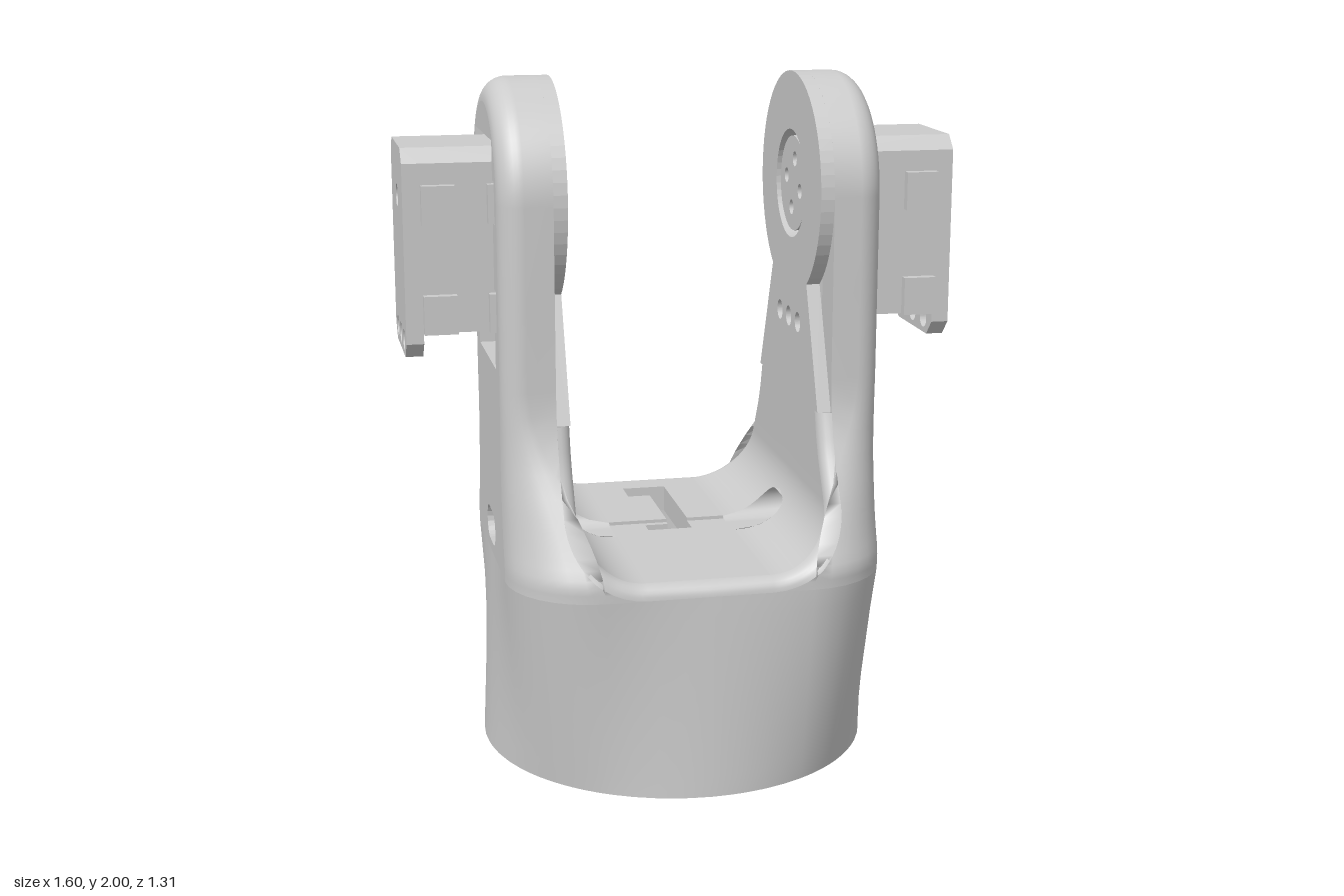
import * as THREE from 'three';

const MAT = new THREE.MeshStandardMaterial({ color: 0xcccccc, side: THREE.DoubleSide });
const CZ = 0.075;                    // depth of the frame's centre line
const X = 0.55, TOP = 1.67, R = 0.33; // outer face, ear centre height, ear radius
const RIM = 0.59, B = 0.04;          // rim height and bevel of the saddle
const V = (x, y) => new THREE.Vector2(x, y);

function add(parent, name, geo, x = 0, y = 0, z = 0) {
  const m = new THREE.Mesh(geo, MAT);
  m.name = name;
  m.position.set(x, y, z);
  parent.add(m);
  return m;
}
const box = (parent, name, x0, x1, y0, y1, z0, z1) => add(parent, name,
  new THREE.BoxGeometry(x1 - x0, y1 - y0, z1 - z0), (x0 + x1) / 2, (y0 + y1) / 2, (z0 + z1) / 2);

// smooth skin through rows of points
function skin(rows) {
  const n = rows[0].length, idx = [];
  for (let i = 0; i < rows.length - 1; i++) for (let j = 0; j < n - 1; j++) {
    const a = i * n + j, b = a + n;
    idx.push(a, b, a + 1, b, b + 1, a + 1);
  }
  const g = new THREE.BufferGeometry();
  g.setAttribute('position', new THREE.Float32BufferAttribute(rows.flat(2), 3));
  g.setIndex(idx);
  g.computeVertexNormals();
  return g;
}
function shapeOf(pts, holes = []) {
  const s = new THREE.Shape(pts.map(p => (p.isVector2 ? p : V(...p))));
  s.holes.push(...holes);
  return s;
}
const circle = (x, y, r) => { const p = new THREE.Path(); p.absarc(x, y, r, 0, Math.PI * 2); return p; };
const poly = pts => new THREE.Path(pts.map(p => V(...p)));
const extrude = (s, depth) => new THREE.ExtrudeGeometry(s, { depth, bevelEnabled: false, curveSegments: 24 });
const sideways = (s, x0, x1) => extrude(s, x1 - x0).rotateY(Math.PI / 2).translate(x0, 0, 0);
const upright = (s, y0, y1) => extrude(s, y1 - y0).rotateX(-Math.PI / 2).translate(0, y0, 0);

// half depth of the frame at a height
const PROFILE = [[0.64, 0.545], [0.78, 0.465], [0.92, 0.385], [1.0, 0.352], [1.08, 0.334], [1.15, R]];
function halfDepth(y) {
  if (y <= 0.64) return 0.545;
  if (y >= 1.15) return R;
  const i = PROFILE.findIndex(p => p[0] >= y), [a, b] = [PROFILE[i - 1], PROFILE[i]];
  return THREE.MathUtils.mapLinear(y, a[0], b[0], a[1], b[1]);
}
const cornerRadius = y => THREE.MathUtils.lerp(0.25, 0.07, THREE.MathUtils.smoothstep(y, RIM, 1.15));
// saddle fillet of radius r around (0.18, 0.81)
const saddleX = (y, r) => 0.18 + (y >= 0.81 ? r : Math.sqrt(Math.max(0, r * r - (0.81 - y) ** 2)));
// cable slot
const SLOT = { y: 0.67, r: 0.05, s: 0.0425 };
const slotHalf = y => (Math.abs(y - SLOT.y) < SLOT.r ? SLOT.s + Math.sqrt(SLOT.r ** 2 - (y - SLOT.y) ** 2) : 0);
function slotPoints() {
  const pts = [];
  for (const c of [1, -1]) for (let i = 0; i <= 10; i++) {
    const a = -Math.PI / 2 + Math.PI * i / 10;
    pts.push([c * (SLOT.s + SLOT.r * Math.cos(a)), SLOT.y + c * SLOT.r * Math.sin(a)]);
  }
  return pts;
}

// round foot blending into the rounded square rim, hollow inside
function buildBase(g) {
  const rim = [], r = 0.25;
  const corners = [[1, 1], [-1, 1], [-1, -1], [1, -1]];
  corners.forEach(([sx, sz], q) => {
    for (let i = 0; i <= 8; i++) {
      const a = (q + i / 8) * Math.PI / 2;
      rim.push([sx * (X - r) + r * Math.cos(a), sz * (0.545 - r) + r * Math.sin(a)]);
    }
    const [p, n] = [rim[rim.length - 1], corners[(q + 1) % 4]];
    const next = q % 2 ? [n[0] * X, n[1] * 0.295] : [n[0] * 0.3, n[1] * 0.545];
    for (let i = 1; i < 8; i++) rim.push([0, 1].map(k => THREE.MathUtils.lerp(p[k], next[k], i / 8)));
  });
  rim.push(rim[0]);
  const rows = [];
  for (let k = 0; k <= 10; k++) {
    const t = k / 10;
    rows.push(rim.map(([x, z]) => {
      const l = 0.58 / Math.hypot(x, z);
      return [x * THREE.MathUtils.lerp(l, 1, t), t * RIM, z * THREE.MathUtils.lerp(l, 1, t)];
    }));
  }
  add(g, 'baseShell', skin(rows));
  add(g, 'baseInnerWall', new THREE.CylinderGeometry(0.49, 0.49, 0.57, 64, 1, true), 0, 0.285, 0);
  add(g, 'baseBottomEdge', new THREE.RingGeometry(0.49, 0.58, 64).rotateX(Math.PI / 2));

  // saddle floor with its wire slot and cable channel
  const flip = p => [p[0], CZ - p[1]];
  const wire = [[-0.07, -0.35], [0.065, -0.35], [0.065, 0.07], [-0.07, 0.07], [-0.07, 0.02], [0, 0.02], [0, -0.26], [-0.07, -0.26]];
  const disc = new THREE.Shape().absarc(0, 0, 0.5, 0, Math.PI * 2);
  disc.holes.push(poly(wire.map(flip)));
  add(g, 'saddleFloor', upright(disc, 0.55, 0.62));
  const back = [[-0.18, -0.43], [0.18, -0.43], [0.18, 0], [0.065, 0], [0.065, -0.35], [-0.07, -0.35], [-0.07, -0.26], [0, -0.26], [0, 0], [-0.18, 0]];
  add(g, 'saddleFloorBack', upright(shapeOf(back.map(flip)), 0.59, 0.63));
  box(g, 'saddleFloorFront', -0.18, 0.18, 0.59, 0.63, 0.0725, 0.505);

  // mounting hub on three spokes
  const hub = new THREE.Shape().absarc(0, 0, 0.36, 0, Math.PI * 2);
  hub.holes.push(poly([0, 1, 2, 3, 4, 5].map(i => [0.09 * Math.cos(i * Math.PI / 3), 0.09 * Math.sin(i * Math.PI / 3)])));
  for (let i = 0; i < 4; i++) hub.holes.push(circle(0.25 * Math.cos(i * Math.PI / 2 + 0.3), 0.25 * Math.sin(i * Math.PI / 2 + 0.3), 0.03));
  add(g, 'mountingHub', upright(hub, 0.13, 0.19));
  for (let i = 0; i < 3; i++) {
    const spoke = new THREE.BoxGeometry(0.16, 0.07, 0.05).translate(0.42, 0.155, 0);
    add(g, 'hubSpoke', spoke.rotateY(-(10 + 120 * i) * Math.PI / 180));
  }
}

function buildArm(g) {
  // side outline: up the front, over the ear, down the back
  const ys = [RIM];
  for (let i = 1; i <= 10; i++) ys.push(0.81 - 0.22 * Math.cos(i * Math.PI / 20));
  ys.push(0.86, 0.92, 0.96, 1.0, 1.04, 1.08, 1.15, 1.4);
  const up = ys.map(y => ({ z: halfDepth(y), y, nz: -1, ny: 0 }));
  const arc = [];
  for (let i = 0; i <= 32; i++) {
    const a = Math.PI * i / 32, c = Math.cos(a), s = Math.sin(a);
    arc.push({ z: R * c, y: TOP + R * s, nz: -c, ny: -s });
  }
  const path = [...up, ...arc, ...up.map(p => ({ ...p, z: -p.z, nz: 1 })).reverse()];
  const inset = [];
  const rows = path.map(p => {
    const r = cornerRadius(p.y), row = [[saddleX(p.y, 0.22), p.y, p.z]];
    for (let j = 0; j <= 8; j++) {
      const a = j * Math.PI / 16, d = r * (1 - Math.cos(a));
      row.push([X - r + r * Math.sin(a), p.y + p.ny * d, p.z + p.nz * d]);
    }
    inset.push([p.z + p.nz * r, p.y + p.ny * r]);
    return row;
  });
  add(g, 'armEdge', skin(rows));

  // flat outer side, with servo window and cable slot
  const half = [[0.185, 1.19], [0.185, 1.3], [0.22, 1.3], [0.22, 1.42], [0.185, 1.42], [0.185, 1.61], [0.22, 1.61], [0.22, 1.73], [0.185, 1.73], [0.185, 1.84]];
  const window_ = [...half, ...half.map(([z, y]) => [-z, y]).reverse()];
  add(g, 'armSide', sideways(shapeOf(inset, [poly(window_), poly(slotPoints())]), 0.402, X));
  const upper = path.filter(p => p.y > 1.03).map(p => [p.z, p.y]);
  add(g, 'armInnerFace', new THREE.ShapeGeometry(shapeOf(upper, [poly(window_)])).rotateY(Math.PI / 2).translate(0.4, 0, 0));

  // saddle surface, split around the cable slot, with a rounded rim
  const u = [[0, 0.63, 0, -1]];
  for (let i = 0; i <= 20; i++) {
    const a = i * Math.PI / 40, s = Math.sin(a), c = Math.cos(a);
    u.push([0.18 + 0.18 * s, 0.81 - 0.18 * c, s, -c]);
  }
  for (const y of [0.86, 0.92, 0.98, 1.05]) u.push([0.36, y, 1, 0]);
  for (const s of [1, -1]) {
    add(g, 'saddleWall', skin(u.slice(1).map(([x, y]) => [[x, y, s * slotHalf(y)], [x, y, s * (halfDepth(y) - B)]])));
    add(g, 'saddleRim', skin(u.map(([x, y, nx, ny]) => {
      const row = [];
      for (let j = 0; j <= 6; j++) {
        const a = j * Math.PI / 12, d = B * (1 - Math.cos(a)), t = j / 6;
        const z = THREE.MathUtils.lerp(halfDepth(y), halfDepth(y + ny * B), t);
        row.push([x + nx * d, y + ny * d, s * (z - B + B * Math.sin(a))]);
      }
      return row;
    })));
  }
  const ring = slotPoints();
  ring.push(ring[0]);
  add(g, 'cableSlot', skin([0, 1].map(k => ring.map(([z, y]) => [k ? 0.41 : y < 0.63 ? 0.18 : saddleX(y, 0.18), y, z]))));

  // raised bearing pad with its tapering neck, and the servo horn
  const a0 = Math.atan2(-0.27, 0.19);
  const pad = new THREE.Shape().moveTo(-0.33, 1.05).lineTo(0.33, 1.05).lineTo(0.19, 1.4);
  pad.absarc(0, TOP, R, a0, Math.PI - a0);
  pad.closePath();
  pad.holes.push(circle(0, TOP, 0.16), ...[-0.1, 0, 0.1].map(z => circle(z, 1.27, 0.03)));
  add(g, 'bearingPad', sideways(pad, 0.36, 0.4));
  const horn = new THREE.Shape().absarc(0, TOP, 0.14, 0, Math.PI * 2);
  for (let i = 0; i < 4; i++) {
    const a = i * Math.PI / 2 + 0.2;
    horn.holes.push(circle(0.075 * Math.cos(a), TOP + 0.075 * Math.sin(a), 0.022));
  }
  add(g, 'servoHorn', sideways(horn, 0.368, 0.41));
}

function buildServo(g) {
  const outline = (y0, c0) => [[-0.177 + c0, y0], [0.177 - c0, y0], [0.177, y0 + c0], [0.177, 1.78], [0.137, 1.82], [-0.137, 1.82], [-0.177, 1.78], [-0.177, y0 + c0]];
  const screws = () => [-0.1, 0, 0.1].map(z => circle(z, 1.27, 0.03));
  add(g, 'servoBody', sideways(shapeOf(outline(1.3, 0)), 0.41, 0.752));
  add(g, 'servoOuterPlate', sideways(shapeOf(outline(1.225, 0.045), [...screws(), circle(0, TOP, 0.033)]), 0.75, 0.8));
  add(g, 'servoInnerPlate', sideways(shapeOf(outline(1.225, 0.045), screws()), 0.405, 0.45));
  for (const s of [1, -1]) for (const y of [1.3, 1.61]) for (const x of [0.47, 0.655])
    box(g, 'servoTab', x, x + 0.095, y, y + 0.11, s * 0.19 - 0.015, s * 0.19 + 0.015);
}

// open socket facing backwards, its top wall split by two slits
function socket(g, x0, x1, y0, y1) {
  const t = 0.014, zf = -0.655, zb = -0.53, w = x1 - x0, s = new THREE.Group();
  s.name = 'socket';
  box(s, 'socketBack', x0, x1, y0, y1, -0.57, zb);
  box(s, 'socketBottom', x0, x1, y0, y0 + t, zf, zb);
  box(s, 'socketSide', x0, x0 + t, y0, y1, zf, zb);
  box(s, 'socketSide', x1 - t, x1, y0, y1, zf, zb);
  for (const [a, b] of [[0, 0.2], [0.28, 0.72], [0.8, 1]])
    box(s, 'socketTop', x0 + a * w, x0 + b * w, y1 - t, y1, zf, zb);
  g.add(s);
}

function buildBoard(g) {
  const holes = [[-0.27, 0.15], [0.27, 0.15], [-0.27, 0.4], [0.27, 0.4]].map(([x, y]) => circle(x, y, 0.025));
  const plate = shapeOf([[-0.33, 0.09], [0.325, 0.09], [0.325, 0.585], [-0.33, 0.585]], holes);
  add(g, 'boardPlate', extrude(plate, 0.025).translate(0, 0, -0.53));
  for (const [y0, y1] of [[0.1, 0.195], [0.21, 0.3], [0.325, 0.41]]) socket(g, -0.11, 0.1, y0, y1);
  for (const [x0, x1] of [[-0.315, -0.225], [-0.2, -0.13], [-0.11, 0.1], [0.11, 0.315]]) socket(g, x0, x1, 0.44, 0.565);
}

export function createModel() {
  const model = new THREE.Group();
  const part = (name, parent, build) => {
    const g = new THREE.Group();
    g.name = name;
    build(g);
    parent.add(g);
    return g;
  };
  const frame = part('frame', model, g => { g.position.z = CZ; });
  part('base', frame, buildBase);
  for (const [side, s] of [['left', 1], ['right', -1]]) {
    part(side + 'Arm', frame, buildArm).scale.x = s;
    part(side + 'Servo', frame, buildServo).scale.x = s;
  }
  part('connectorBoard', model, buildBoard);
  return model;
}
